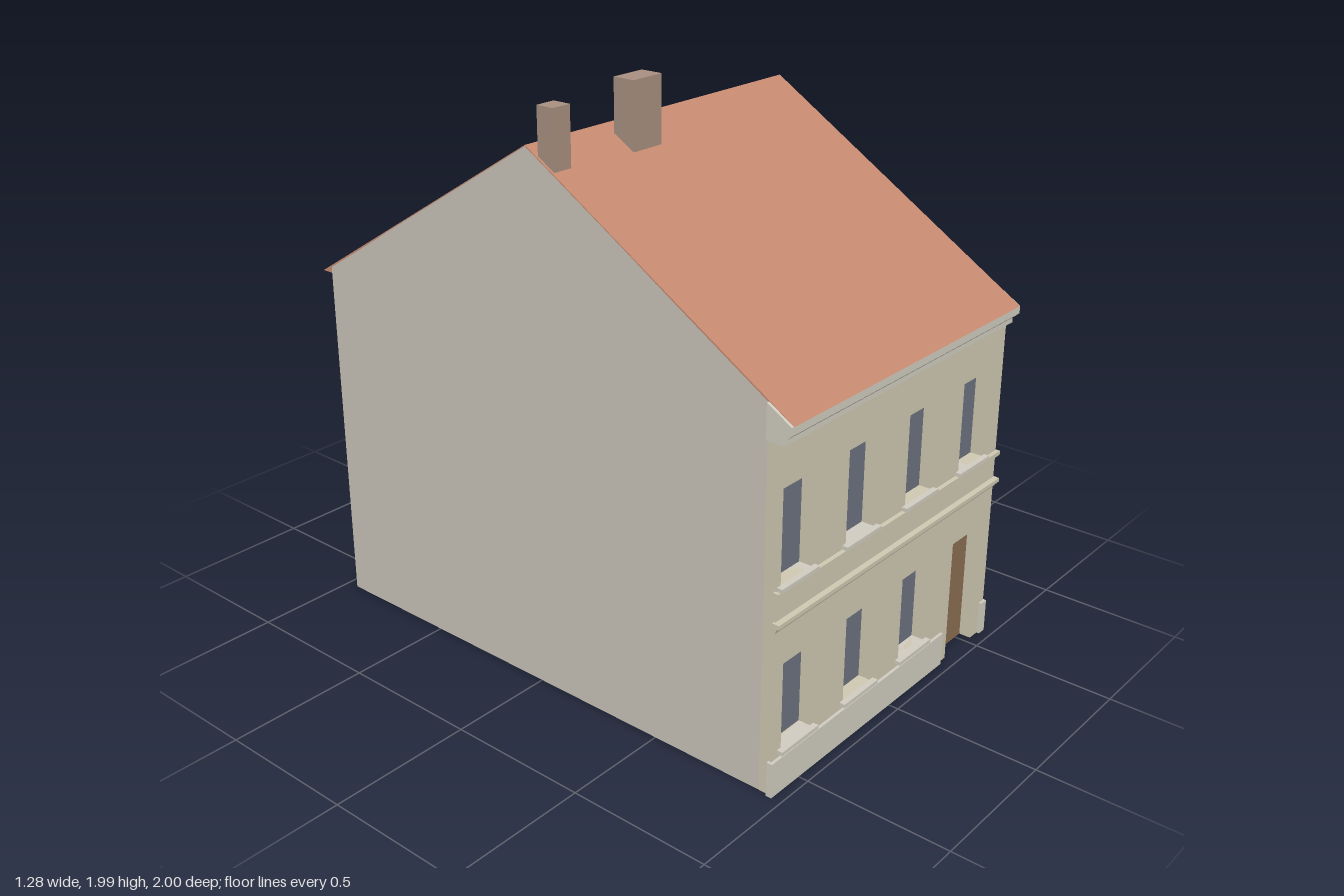
import * as THREE from 'three';

const LEFT = -0.63;
const FRONT = 0.955; // facade plane
const RECESS = 0.91; // plane of glass and door
// the party wall on the +x side runs slightly askew
const rightEdge = (z) => 0.62 - 0.0171 * z;

const mat = (color) => new THREE.MeshStandardMaterial({ color, flatShading: true });
const body = mat(0xc8c2b8), facade = mat(0xcfc8b2), stone = mat(0xd0ccc0);
const tiles = mat(0xc68a70), glass = mat(0x6b7180), wood = mat(0x8a6e50), brick = mat(0xa89080);

export function createModel() {
  const house = new THREE.Group();
  house.name = 'townHouse';

  function add(name, geometry, material) {
    const mesh = new THREE.Mesh(geometry, material);
    mesh.name = name;
    house.add(mesh);
    return mesh;
  }

  function box(name, x0, x1, y0, y1, z0, z1, material) {
    const g = new THREE.BoxGeometry(x1 - x0, y1 - y0, z1 - z0);
    g.translate((x0 + x1) / 2, (y0 + y1) / 2, (z0 + z1) / 2);
    return add(name, g, material);
  }

  // sweep a [z, y] profile across the width, fitted to the askew right wall
  function sweep(name, profile, material, over = 0) {
    const shape = new THREE.Shape(profile.map(([z, y]) => new THREE.Vector2(-z, y)));
    const g = new THREE.ExtrudeGeometry(shape, { depth: 1, bevelEnabled: false });
    g.rotateY(Math.PI / 2);
    const p = g.attributes.position;
    for (let i = 0; i < p.count; i++) {
      p.setX(i, p.getX(i) < 0.5 ? LEFT - over : rightEdge(p.getZ(i)) + over * 0.4);
    }
    g.computeVertexNormals();
    return add(name, g, material);
  }

  // Main volume with gables
  sweep('walls', [[RECESS, 0], [RECESS, 1.28], [0, 1.836], [-FRONT, 1.252], [-FRONT, 0]], body);

  // Roof covering with closed rear eave
  sweep('roof', [
    [1, 1.228], [0, 1.84], [-1, 1.228], [-FRONT, 1.228],
    [-FRONT, 1.249], [0, 1.834], [0.99, 1.228],
  ], tiles);

  // Openings: x0, x1, y0, y1
  const windows = [
    ...[[-0.61, -0.463], [-0.285, -0.138], [0.04, 0.188], [0.36, 0.508]].map((x) => [...x, 0.713, 1.02]),
    ...[[-0.585, -0.436], [-0.26, -0.111], [0.055, 0.204]].map((x) => [...x, 0.148, 0.44]),
  ];
  const door = [0.362, 0.53, 0, 0.44];

  // Facade slab pierced by windows, notched for the door
  const R = rightEdge(FRONT);
  const front = new THREE.Shape([
    [LEFT, 0], [door[0], 0], [door[0], door[3]], [door[1], door[3]],
    [door[1], 0], [R, 0], [R, 1.235], [LEFT, 1.235],
  ].map(([x, y]) => new THREE.Vector2(x, y)));
  for (const [x0, x1, y0, y1] of windows) {
    front.holes.push(new THREE.Path([
      [x0, y0], [x0, y1], [x1, y1], [x1, y0],
    ].map(([x, y]) => new THREE.Vector2(x, y))));
  }
  const slab = new THREE.ExtrudeGeometry(front, { depth: FRONT - RECESS, bevelEnabled: false });
  slab.translate(0, 0, RECESS);
  add('facade', slab, facade);

  // Window panes and sills
  windows.forEach(([x0, x1, y0, y1], i) => {
    box(`windowPane${i + 1}`, x0, x1, y0, y1, RECESS - 0.01, RECESS + 0.003, glass);
    box(`windowSill${i + 1}`, x0 - 0.018, x1 + 0.018, y0 - 0.013, y0, RECESS, 0.975, stone);
  });
  box('door', ...door, RECESS - 0.01, RECESS + 0.003, wood);

  // Plinth on both sides of the door
  box('plinthRight', LEFT - 0.01, 0.32, 0, 0.12, FRONT - 0.01, 0.965, stone);
  box('plinthLeft', 0.575, R + 0.004, 0, 0.12, FRONT - 0.01, 0.965, stone);

  // String courses and cornice
  sweep('lowerBand', [[0.95, 0.565], [0.96, 0.567], [0.966, 0.582], [0.975, 0.586], [0.975, 0.6], [0.95, 0.6]], facade, 0.01);
  sweep('upperBand', [[0.95, 0.685], [0.97, 0.685], [0.97, 0.7], [0.95, 0.7]], facade, 0.01);
  sweep('cornice', [
    [RECESS + 0.002, 1.165], [0.975, 1.165], [0.975, 1.184], [0.982, 1.187],
    [0.998, 1.202], [0.998, 1.228], [RECESS + 0.002, 1.279],
  ], stone, 0.01);

  // Chimneys
  box('smallChimney', -0.622, -0.55, 1.772, 1.965, 0.045, 0.11, brick);
  box('largeChimney', -0.283, -0.152, 1.767, 1.99, 0.04, 0.12, brick);

  return house;
}
